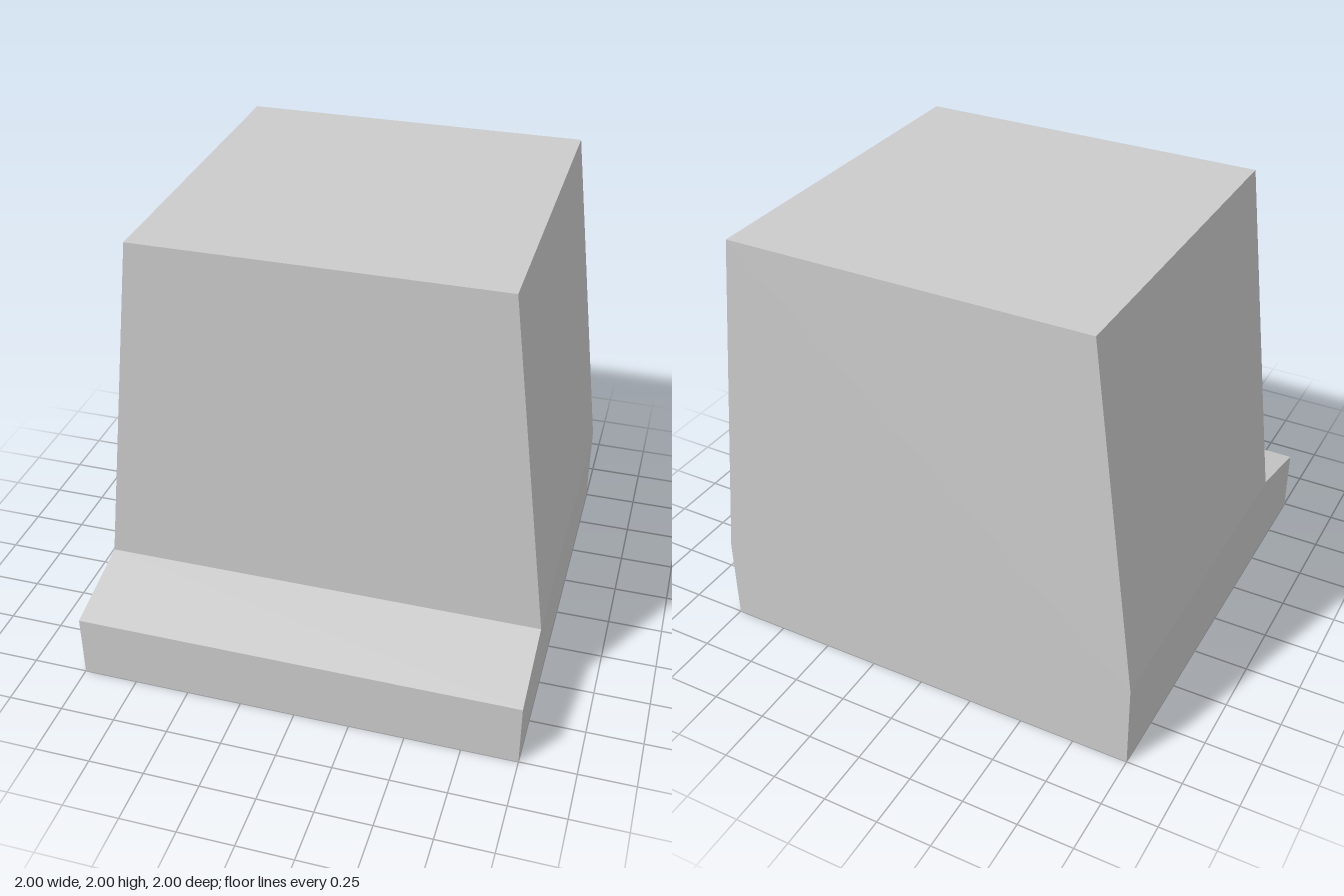
import * as THREE from 'three';

// Side outline as [z, y, half width], running round the body
const outline = [
  [-1, 0, 1],
  [1, 0, 1],
  [1, 0.3, 1],
  [0.6, 0.4, 1],
  [0.6, 2, 0.8],
  [-1, 2, 0.8],
  [-1, 0.4, 1],
];

export function createModel() {
  const positions = [];
  const left = outline.map(([z, y, w]) => [w, y, z]);
  const right = outline.map(([z, y, w]) => [-w, y, z]);

  // Convex flat face as a triangle fan
  const addFace = (corners) => {
    for (let i = 1; i < corners.length - 1; i++) {
      positions.push(...corners[0], ...corners[i], ...corners[i + 1]);
    }
  };

  // Bottom, front lip, sloped ledge, front, top and back
  outline.forEach((_, i) => {
    const j = (i + 1) % outline.length;
    addFace([left[i], left[j], right[j], right[i]]);
  });

  // Sides: upright base below, leaning wall above
  for (const side of [[0, 1, 2, 3, 6], [6, 3, 4, 5]]) {
    addFace(side.map((i) => right[i]));
    addFace([...side].reverse().map((i) => left[i]));
  }

  const geometry = new THREE.BufferGeometry();
  geometry.setAttribute('position', new THREE.Float32BufferAttribute(positions, 3));
  geometry.computeVertexNormals();

  const body = new THREE.Mesh(
    geometry,
    new THREE.MeshStandardMaterial({ color: 0xcccccc, flatShading: true })
  );
  body.name = 'taperedBlockWithLedge';

  const group = new THREE.Group();
  group.name = 'taperedBlock';
  group.add(body);
  return group;
}
